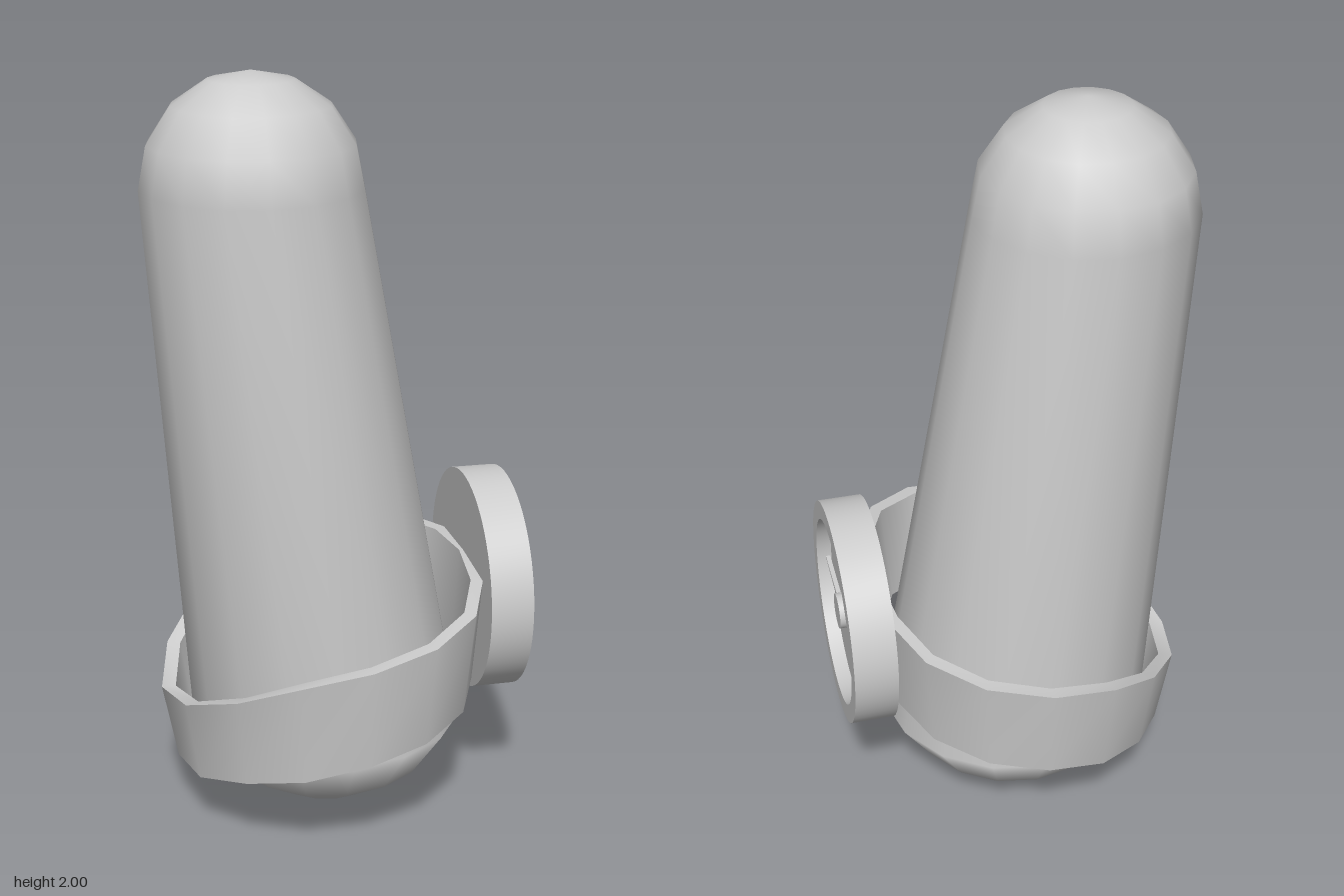
import * as THREE from 'three';
import { mergeVertices, toCreasedNormals } from 'three/addons/utils/BufferGeometryUtils.js';

const SIDES = 16;
const V2 = (x, y) => new THREE.Vector2(x, y);

// Leaning, tapered body: a lathe with round ends, sheared sideways along its height
function bodyGeometry() {
  const low = 0.254, high = 1.713, rTop = 0.285;
  const profile = [V2(0, 0), V2(0.145, 0.035), V2(0.28, 0.124), V2(0.368, low)];
  for (let i = 0; i <= 4; i++) {
    const a = (i * Math.PI) / 8;
    profile.push(V2(i === 4 ? 0 : rTop * Math.cos(a), high + (2 - high) * Math.sin(a)));
  }
  const lathe = new THREE.LatheGeometry(profile, SIDES);
  const p = lathe.attributes.position;
  for (let i = 0; i < p.count; i++) {
    const t = THREE.MathUtils.clamp((p.getY(i) - low) / (high - low), 0, 1);
    p.setX(i, p.getX(i) - 0.015 - 0.185 * t);
    p.setZ(i, p.getZ(i) - 0.015);
  }
  lathe.deleteAttribute('uv');
  lathe.deleteAttribute('normal');
  const geometry = mergeVertices(lathe, 1e-4);
  geometry.computeVertexNormals();
  return geometry;
}

// Loose flared band: four strips (outside, top, inside, bottom) around a sagging loop
function bandGeometry() {
  // half loops from the right side (-x) round the front to the left side (+x)
  const top = {
    x: [-0.47, -0.43, -0.32, -0.175, 0, 0.17, 0.3, 0.365, 0.385],
    y: [0.36, 0.4, 0.477, 0.556, 0.6, 0.632, 0.66, 0.68, 0.69], rz: 0.506,
  };
  const bottom = {
    x: [-0.43, -0.395, -0.295, -0.16, 0, 0.155, 0.28, 0.345, 0.365],
    y: [0.15, 0.175, 0.23, 0.275, 0.32, 0.35, 0.375, 0.39, 0.395], rz: 0.47,
  };
  const point = (edge, k, inner) => {
    const i = k <= 8 ? k : 16 - k;
    const z = (edge.rz - (inner ? 0.038 : 0)) * Math.sin((k * Math.PI) / 8);
    return [edge.x[i] * (inner ? 0.92 : 1), edge.y[i], z];
  };
  const corners = [[bottom, false], [top, false], [top, true], [bottom, true]];
  const positions = [], index = [];
  corners.forEach((from, s) => {
    const to = corners[(s + 1) % 4];
    const base = s * SIDES * 2;
    for (let k = 0; k < SIDES; k++) {
      positions.push(...point(from[0], k, from[1]), ...point(to[0], k, to[1]));
      const a = base + k * 2, b = base + ((k + 1) % SIDES) * 2;
      index.push(a, b, b + 1, a, b + 1, a + 1);
    }
  });
  const geometry = new THREE.BufferGeometry();
  geometry.setAttribute('position', new THREE.Float32BufferAttribute(positions, 3));
  geometry.setIndex(index);
  geometry.computeVertexNormals();
  return geometry;
}

export function createModel() {
  const model = new THREE.Group();
  const grey = new THREE.MeshStandardMaterial({ color: 0xcccccc });
  grey.name = 'light grey';
  const add = (parent, name, geometry) => {
    const mesh = new THREE.Mesh(geometry, grey);
    mesh.name = name;
    parent.add(mesh);
    return mesh;
  };

  add(model, 'body', bodyGeometry());
  add(model, 'band', bandGeometry());

  // Round dial, built facing +y and then turned to face +x
  const dial = new THREE.Group();
  dial.name = 'dial';
  dial.position.set(0.365, 0.603, -0.018);
  dial.rotation.z = -Math.PI / 2;
  model.add(dial);

  const depth = 0.115, floor = 0.075;
  const casing = new THREE.LatheGeometry([
    V2(0, 0), V2(0.302, 0), V2(0.302, depth),
    V2(0.252, depth), V2(0.252, floor), V2(0, floor),
  ], 64);
  add(dial, 'dialCasing', toCreasedNormals(casing, 0.6));

  const hub = add(dial, 'dialHub', new THREE.CylinderGeometry(0.048, 0.048, 0.03, 32));
  hub.position.y = floor + 0.015;

  // Slim tapered needle pointing towards the front and slightly up
  const outline = new THREE.Shape([V2(0, -0.009), V2(0.22, -0.003), V2(0.22, 0.003), V2(0, 0.009)]);
  const needleGeometry = new THREE.ExtrudeGeometry(outline, { depth: 0.012, bevelEnabled: false });
  needleGeometry.rotateX(-Math.PI / 2);
  const needle = add(dial, 'dialNeedle', needleGeometry);
  needle.position.y = floor + 0.008;
  needle.rotation.y = -Math.PI / 2 - 0.1;

  return model;
}
